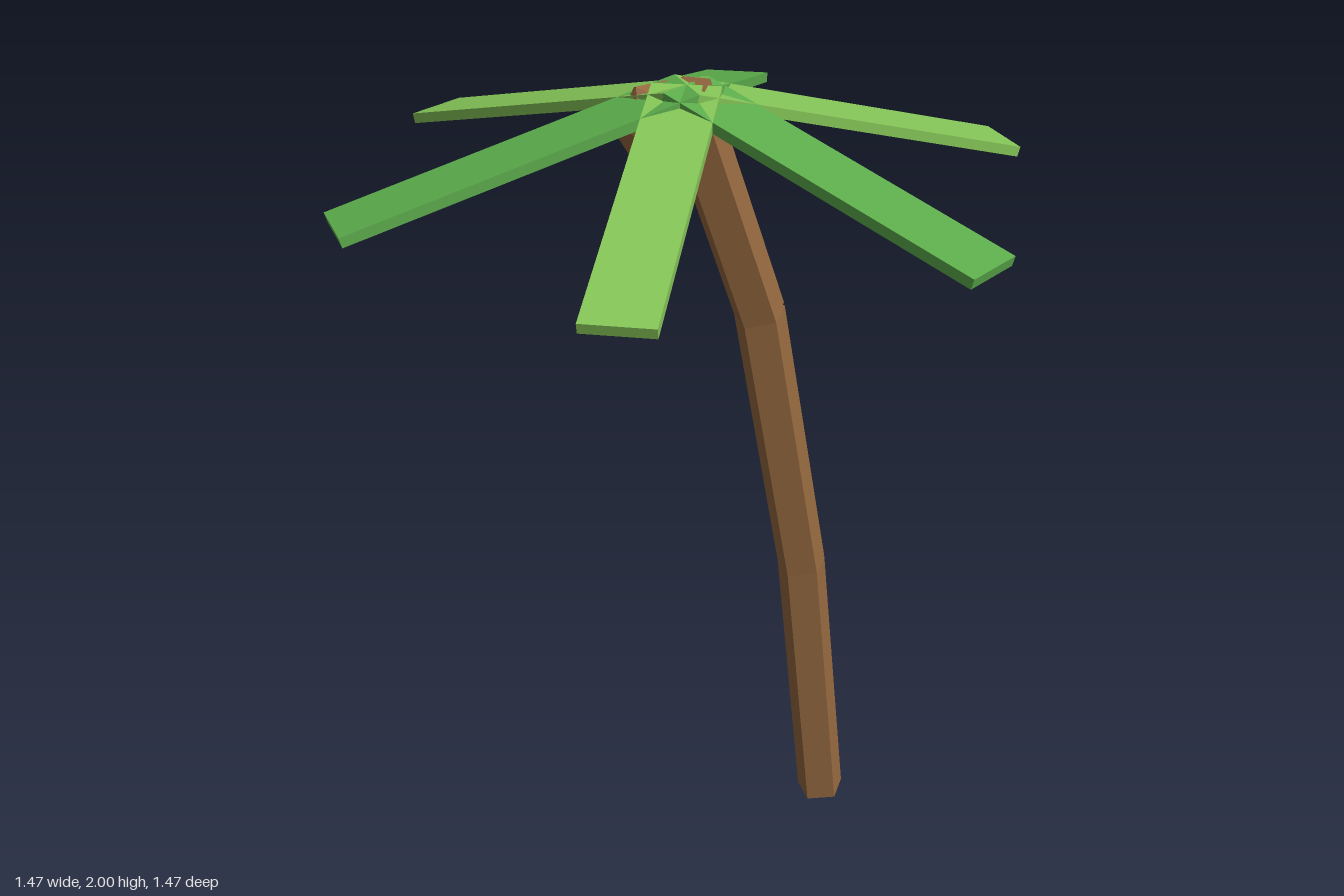
import * as THREE from 'three';

export function createModel() {
  const model = new THREE.Group();
  model.name = 'palmTree';

  const material = (name, color) => {
    const m = new THREE.MeshStandardMaterial({ color, flatShading: true });
    m.name = name;
    return m;
  };
  const bark = material('barkBrown', 0x96693f);
  const lightGreen = material('lightLeafGreen', 0x86c658);
  const green = material('leafGreen', 0x5cad4c);

  // Trunk: three straight five-sided segments, each leaning further over
  const joints = [[0.434, 0.008], [0.343, 0.735], [0.198, 1.435], [-0.008, 1.978]];
  for (let i = 0; i < 3; i++) {
    const [x0, y0] = joints[i];
    const [x1, y1] = joints[i + 1];
    const length = Math.hypot(x1 - x0, y1 - y0);
    const segment = new THREE.Mesh(new THREE.CylinderGeometry(0.06, 0.06, length, 5), bark);
    segment.name = `trunkSegment${i + 1}`;
    segment.position.set((x0 + x1) / 2, (y0 + y1) / 2, 0);
    segment.rotation.z = Math.atan2(x0 - x1, y1 - y0);
    model.add(segment);
  }

  // Coconut tucked under the fronds, behind the trunk
  const coconut = new THREE.Mesh(new THREE.IcosahedronGeometry(0.1, 0), bark);
  coconut.name = 'coconut';
  coconut.position.set(-0.03, 1.9, -0.06);
  model.add(coconut);

  // Fronds: six drooping planks meeting at the crown, in alternating greens
  const length = 0.766, thickness = 0.022, width = 0.145;
  const plank = new THREE.BoxGeometry(length, thickness, width);
  plank.translate(length / 2, -thickness / 2, 0);
  plank.rotateZ(-Math.PI / 12);
  for (let i = 0; i < 6; i++) {
    const frond = new THREE.Mesh(plank, i % 2 ? green : lightGreen);
    frond.name = `frond${i + 1}`;
    frond.position.y = 1.99;
    frond.rotation.y = -(Math.PI / 12 + (i * Math.PI) / 3);
    model.add(frond);
  }

  return model;
}
